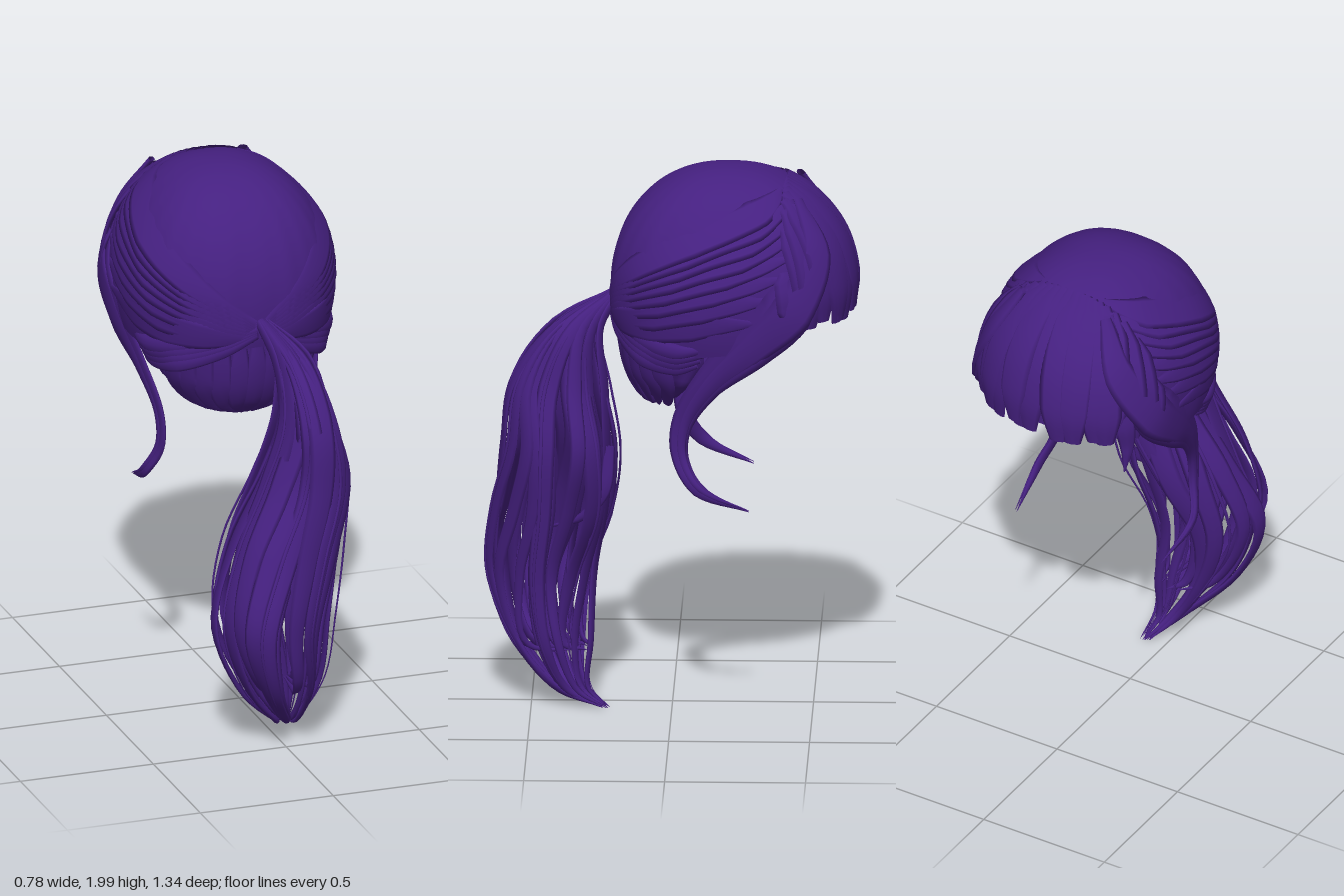
import * as THREE from 'three';
import { mergeVertices } from 'three/addons/utils/BufferGeometryUtils.js';

const V = (x, y, z) => new THREE.Vector3(x, y, z);
const lerp = THREE.MathUtils.lerp;
const hair = new THREE.MeshStandardMaterial({ color: 0x452080, side: THREE.DoubleSide });

// small seeded generator
let seed = 7;
const rand = () => (seed = (seed * 16807) % 2147483647) / 2147483647;

// linear sample of a short list of numbers, t in 0..1
function sample(list, t) {
  const f = t * (list.length - 1), i = Math.min(Math.floor(f), list.length - 2);
  return lerp(list[i], list[i + 1], f - i);
}

// smooth surface from a rule fn(u, v) -> Vector3
function surface(nu, nv, fn) {
  const pos = [], index = [];
  for (let i = 0; i <= nu; i++) for (let j = 0; j <= nv; j++) pos.push(...fn(i / nu, j / nv).toArray());
  for (let i = 0; i < nu; i++) for (let j = 0; j < nv; j++) {
    const a = i * (nv + 1) + j, b = a + 1, c = a + nv + 1, d = c + 1;
    index.push(a, b, c, b, d, c);
  }
  let geo = new THREE.BufferGeometry();
  geo.setAttribute('position', new THREE.Float32BufferAttribute(pos, 3));
  geo.setIndex(index);
  geo = mergeVertices(geo, 1e-4);
  geo.computeVertexNormals();
  return geo;
}

function add(parent, name, geo) {
  const mesh = new THREE.Mesh(geo, hair);
  mesh.name = name;
  parent.add(mesh);
}

function group(parent, name) {
  const g = new THREE.Group();
  g.name = name;
  parent.add(g);
  return g;
}

// flat tapered lock along a path; out(p, t) gives the direction its broad face looks
function lock(parent, name, pts, widths, thick, out, steps = 32) {
  const curve = new THREE.CatmullRomCurve3(pts);
  const frames = [];
  for (let i = 0; i <= steps; i++) {
    const t = i / steps, p = curve.getPoint(t), T = curve.getTangent(t);
    const N = out(p, t);
    N.addScaledVector(T, -N.dot(T)).normalize();
    frames.push({ p, N, B: N.clone().cross(T), w: sample(widths, t) });
  }
  add(parent, name, surface(steps, 8, (u, v) => {
    const { p, N, B, w } = frames[Math.round(u * steps)], a = v * Math.PI * 2;
    return p.clone().addScaledVector(B, w * Math.cos(a))
      .addScaledVector(N, Math.min(thick, w * 0.6) * Math.sin(a));
  }));
}

// head shape: az 0 = tie side, PI = fringe side; pol 0 = crown
const spow = (v, e) => Math.sign(v) * Math.abs(v) ** e;
function head(az, pol, k = 1) {
  const r = Math.abs(Math.sin(pol)) ** 0.92;
  const rz = Math.cos(az) > 0 ? 0.42 : 0.44;
  return V(0.38 * k * r * spow(Math.sin(az), 0.85),
    1.55 + 0.45 * spow(Math.cos(pol), 0.94),
    -0.2 + rz * k * r * spow(Math.cos(az), 0.85));
}
const fromHead = p => V(p.x, p.y - 1.55, p.z + 0.2);

// height of the cap's lower edge turned into a polar angle
function edge(az) {
  const a = Math.abs(az) / Math.PI;
  const y = sample([1.43, 1.42, 1.4, 1.38, 1.4, 1.51, 1.54, 1.53, 1.53], a);
  return Math.acos(-(((1.55 - y) / 0.45) ** (1 / 0.94)));
}

export function createModel() {
  seed = 7;
  const model = new THREE.Group();
  model.name = 'ponytailHair';

  // dome of combed-back hair
  add(model, 'cap', surface(120, 40, (u, v) => {
    const az = (u * 2 - 1) * Math.PI, pol = v * edge(az);
    const comb = 1 + 0.006 * Math.sin(pol) * Math.sin(az * 18) * Math.sin(az * 7 + pol * 2);
    return head(az, pol, comb);
  }));

  // locks swept from the parting back to the tie
  const swept = group(model, 'sweptLocks');
  for (const s of [-1, 1]) for (let i = 0; i < 8; i++) {
    const f = i / 7, az0 = lerp(2.5, 1.75, f), pol0 = lerp(0.5, 1.62, f), pts = [];
    for (let k = 0; k <= 8; k++) {
      const t = k / 8;
      pts.push(head(s * lerp(az0, 0.03, t), lerp(pol0, 1.62 + 0.12 * f, t ** 1.2), 1.003));
    }
    lock(swept, 'sweptLock', pts, [0.01, 0.06, 0.07, 0.05, 0.015], 0.005, fromHead);
  }

  // fringe falling from the cross parting
  const fringe = group(model, 'fringe');
  for (let i = 0; i < 19; i++) {
    const az = Math.PI + lerp(-1.1, 1.1, i / 18);
    const p0 = Math.asin(Math.min(1, 0.43 / Math.abs(Math.cos(az))));
    const end = 1.62 + 0.09 * rand(), k = 1.02 + 0.02 * rand(), pts = [];
    for (let j = 0; j <= 7; j++) {
      const t = j / 7, curl = t > 0.9 ? 0.985 : 1;
      pts.push(head(az + 0.06 * Math.sin(i * 2) * t, lerp(p0, end, t), lerp(1, k, Math.min(1, t * 2)) * curl));
    }
    lock(fringe, 'fringeLock', pts, [0.03, 0.06, 0.065, 0.065, 0.06, 0.03], 0.01, fromHead, 24);
  }
  // one loose pointed lock at the corner of the fringe
  lock(fringe, 'looseFringeLock',
    [V(-0.27, 1.7, -0.53), V(-0.3, 1.55, -0.53), V(-0.3, 1.45, -0.515), V(-0.295, 1.35, -0.525)],
    [0.04, 0.04, 0.025, 0.002], 0.012, fromHead);

  // long curling side locks: broad over the temple, then a fine hook
  for (const s of [-1, 1]) {
    const side = group(model, s > 0 ? 'leftSideLock' : 'rightSideLock');
    for (const d of [0, 1]) {
      const pts = [[0.165, 1.92, -0.42], [0.265, 1.75, -0.49], [0.36, 1.56, -0.41], [0.365, 1.43, -0.28],
        [0.325, 1.28, -0.13], [0.285, 1.12, -0.04], [0.285, 1.0, -0.035], [0.32, 0.89, -0.1], [0.3, 0.805, -0.28]]
        .map(([x, y, z], i) => V(s * (x + 0.006 * d), y + 0.006 * d, z - 0.03 * d * (1 - i / 8)));
      const w = d ? [0.02, 0.06, 0.08, 0.06, 0.035, 0.02, 0.015, 0.012, 0.001]
        : [0.02, 0.07, 0.1, 0.085, 0.055, 0.038, 0.03, 0.025, 0.001];
      lock(side, 'sideStrand', pts, w, 0.011,
        (p, t) => fromHead(p).multiplyScalar(Math.max(0, 1 - 2.5 * t)).add(V(s * 0.5 * Math.min(1, t * 2.5), 0, 0)), 48);
    }
  }

  // nape hair: an open bowl under the tie, [y, half width, back z, front z]
  const rows = [[1.45, 0.35, 0.19, -0.12], [1.35, 0.315, 0.185, -0.12], [1.26, 0.265, 0.165, -0.07],
    [1.19, 0.175, 0.13, -0.02], [1.145, 0.05, 0.08, 0.02]];
  const nape = (a, t) => {
    const [y, rx, zb, zf] = [0, 1, 2, 3].map(k => sample(rows.map(r => r[k]), t));
    return V(rx * Math.sin(a), y, zf + (zb - zf) * Math.cos(a));
  };
  add(model, 'nape', surface(20, 64, (u, v) => {
    const a = (v - 0.5) * Math.PI, p = nape(a, u), c = 1 + 0.02 * Math.sin(a * 22);
    return V(p.x * c, p.y, p.z * c);
  }));
  const napeLocks = group(model, 'napeLocks');
  for (let i = 0; i < 11; i++) {
    const a = lerp(-1.45, 1.45, i / 10);
    const pts = [1, 0.75, 0.5, 0.25, 0].map(t => nape(a * (0.6 + 0.4 * t), t));
    lock(napeLocks, 'napeLock', pts, [0.015, 0.035, 0.045, 0.04, 0.02], 0.01, p => V(p.x, 0, p.z + 0.1), 16);
  }

  // bands gathered from behind the ears into the tie
  const gathered = group(model, 'gatheredBands');
  for (const s of [-1, 1]) for (let i = 0; i < 4; i++) {
    const d = i * 0.022;
    lock(gathered, 'gatheredBand', [V(s * (0.35 - d * 0.4), 1.42 - d, -0.13 + d * 0.5), V(s * (0.345 - d * 0.4), 1.41 - d, -0.02),
      V(s * 0.27, 1.43 - d, 0.1), V(s * 0.13, 1.465 - d * 0.7, 0.185), V(s * 0.01, 1.5 - d * 0.3, 0.22)],
      [0.012, 0.03, 0.032, 0.025, 0.015], 0.013, p => V(p.x, 0, p.z + 0.1));
  }

  // ponytail: strands spread through a swelling bundle, [x, y, z, spread x, spread z]
  const bundle = [[0.01, 1.53, 0.2, 0.015, 0.01], [0.08, 1.42, 0.345, 0.06, 0.09], [0.105, 1.22, 0.405, 0.085, 0.17],
    [0.1, 1.0, 0.4, 0.155, 0.195], [0.02, 0.76, 0.42, 0.2, 0.215], [-0.045, 0.5, 0.465, 0.205, 0.195],
    [-0.005, 0.25, 0.44, 0.145, 0.14], [0.045, 0.08, 0.36, 0.05, 0.065], [0.08, 0.015, 0.24, 0.015, 0.015]];
  const tail = group(model, 'ponytail');
  const strand = (ang, r, last, w) => {
    const u = Math.cos(ang) * r, v = Math.sin(ang) * r;
    const pts = bundle.slice(0, last).map(([x, y, z, rx, rz], i) => {
      const sway = 0.02 * Math.sin(i * 1.3 + ang * 5) * Math.min(1, i / 3) * (i < 7 ? 1 : 0.3);
      return V(x + u * rx + sway, y, z + v * rz - sway);
    });
    // shorter strands finish in a small forward curl
    if (last < 9) {
      const e = pts[pts.length - 1];
      pts.push(V(lerp(e.x, 0.06, 0.6), e.y - 0.03, lerp(e.z, 0.28, 0.8)));
    }
    lock(tail, 'tailStrand', pts, [0.018, 0.7 * w, w, w, 0.9 * w, 0.75 * w, 0.55 * w, 0.35 * w, 0.001], 0.009,
      () => V(u + 0.01, 0, v), 44);
  };
  // outer strands, finer on the left side so the tail opens up there
  for (let i = 0; i < 18; i++) {
    const ang = (i + 0.5 * rand()) / 18 * Math.PI * 2;
    strand(ang, 0.88 + 0.12 * rand(), i % 3 === 1 ? 7 : 9, (0.035 + 0.022 * rand()) * (Math.cos(ang) > 0.6 ? 0.75 : 1));
  }
  for (let i = 0; i < 8; i++) strand(i / 8 * Math.PI * 2 + 0.3, 0.5 + 0.2 * rand(), i % 2 ? 7 : 8, 0.035 + 0.015 * rand());
  // fine flyaway strands around the tail
  for (let i = 0; i < 7; i++) strand(i * 0.9 + 0.2, 1.02 + 0.08 * rand(), 9, 0.007);
  // one stray strand crossing the tail
  lock(tail, 'strayStrand', [V(0.15, 1.0, 0.22), V(0.16, 0.84, 0.24), V(0.13, 0.73, 0.32), V(0.06, 0.67, 0.46)],
    [0.02, 0.025, 0.015, 0.001], 0.008, () => V(1, 0, 0), 20);

  return model;
}
